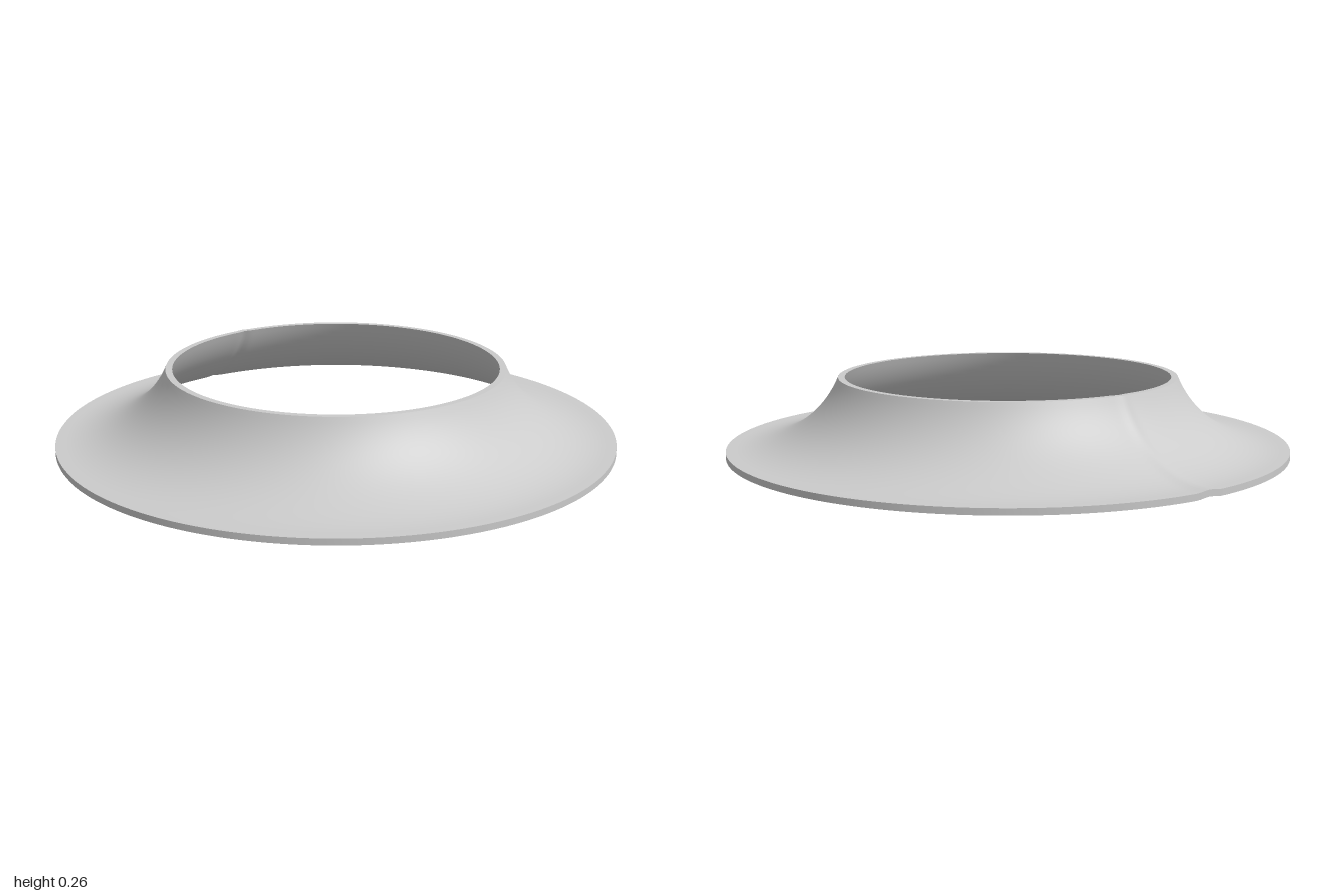
import * as THREE from 'three';
import { toCreasedNormals } from 'three/addons/utils/BufferGeometryUtils.js';

// The wall follows two concentric arcs centred above the flange
const CENTRE = new THREE.Vector2(0.97, 0.417);
const TOP = 0.265, OUTER_ARC = 0.395, INNER_ARC = 0.417;

// Arc from the flange (straight down) up to the top rim
function wallArc(radius, steps) {
  const end = Math.acos((CENTRE.y - TOP) / radius);
  return Array.from({ length: steps + 1 }, (_, i) => {
    const a = (end * i) / steps;
    return new THREE.Vector2(CENTRE.x - radius * Math.sin(a), CENTRE.y - radius * Math.cos(a));
  });
}

// Slight raised seam running down the wall on the -x side
function addSeam(geometry) {
  const pos = geometry.attributes.position;
  for (let i = 0; i < pos.count; i++) {
    const x = pos.getX(i), y = pos.getY(i), z = pos.getZ(i);
    if (x > 0) continue;
    const r = Math.hypot(x, z);
    const lift = 0.006 * Math.exp(-((Math.asin(z / r) / 0.03) ** 2));
    const dir = new THREE.Vector2(CENTRE.x - r, CENTRE.y - y).normalize();
    const k = Math.min(1, r + dir.x * lift) / r;
    pos.setXYZ(i, x * k, Math.min(TOP, y + dir.y * lift), z * k);
  }
}

export function createModel() {
  const group = new THREE.Group();
  group.name = 'flaredRing';

  // Closed section: flange edge, outer wall, top rim, inner wall, underside
  const profile = [
    new THREE.Vector2(1, 0),
    new THREE.Vector2(1, 0.022),
    ...wallArc(OUTER_ARC, 24),
    ...wallArc(INNER_ARC, 24).reverse(),
    new THREE.Vector2(1, 0),
  ];
  const geometry = new THREE.LatheGeometry(profile, 360);
  addSeam(geometry);

  const collar = new THREE.Mesh(
    toCreasedNormals(geometry, 0.6),
    new THREE.MeshStandardMaterial({ color: 0xcccccc })
  );
  collar.name = 'flaredCollar';
  group.add(collar);
  return group;
}
